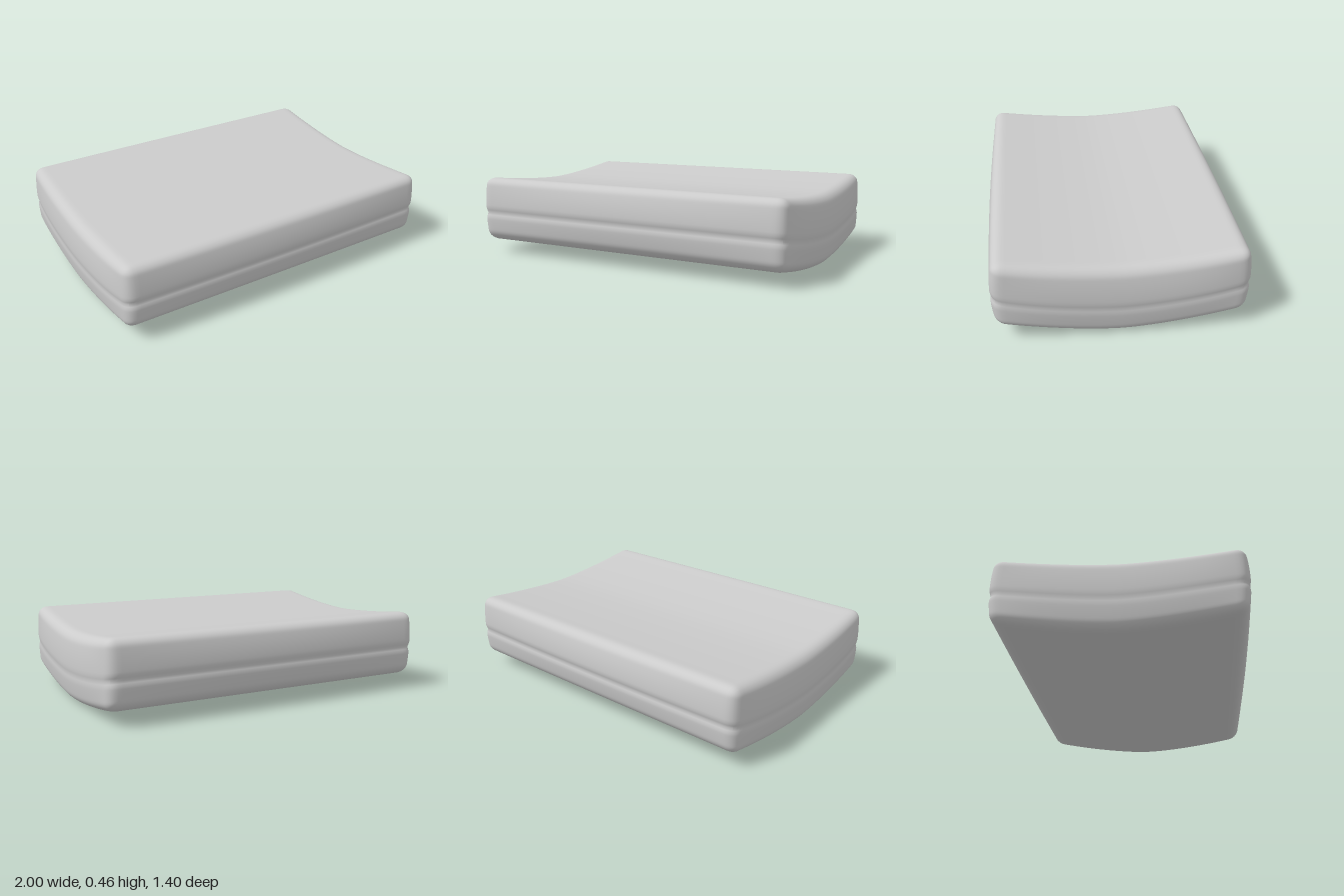
import * as THREE from 'three';
import { mergeVertices } from 'three/addons/utils/BufferGeometryUtils.js';

// half sizes before the walls bulge, and edge radius
const HALF = new THREE.Vector3(0.975, 0.205, 0.665);
const RADIUS = 0.055;

// heights of the sagging underside and top along z
const sag = (z) => Math.pow(Math.abs(z) / 0.65, 1.6);
const bottomY = (z) => 0.087 * sag(z);
const topY = (z) => 0.408 + 0.057 * sag(z);

function cushionGeometry() {
  const box = new THREE.BoxGeometry(2, 2, 2, 48, 40, 40);
  box.deleteAttribute('normal');
  box.deleteAttribute('uv');
  const geometry = mergeVertices(box);
  const pos = geometry.attributes.position;
  const p = new THREE.Vector3();
  const core = new THREE.Vector3();
  const limit = HALF.clone().subScalar(RADIUS);
  const floor = limit.clone().negate();

  for (let i = 0; i < pos.count; i++) {
    // gather the grid lines towards the edges
    p.fromBufferAttribute(pos, i);
    for (const axis of ['x', 'y', 'z']) p[axis] = Math.sin(p[axis] * Math.PI / 2) * HALF[axis];

    // round the edges
    core.copy(p).clamp(floor, limit);
    p.sub(core).setLength(RADIUS).add(core);

    // bulge the walls and press in the seam that runs around them
    const u = p.x / HALF.x, h = p.y / HALF.y, w = p.z / HALF.z;
    const t = (h + 1) / 2;
    const bulge = 1 - h * h;
    const seam = Math.exp(-Math.pow((t - 0.42) / 0.045, 2));
    p.x += u * (0.026 * bulge * (1 - Math.pow(w, 4)) - 0.005 * seam);
    p.z += w * (0.036 * bulge * (1 - 0.5 * u * u) - 0.010 * seam);

    // bend the slab into a shallow trough
    p.y = THREE.MathUtils.lerp(bottomY(p.z), topY(p.z), t);
    pos.setXYZ(i, p.x, p.y, p.z);
  }
  geometry.computeVertexNormals();
  return geometry;
}

export function createModel() {
  const model = new THREE.Group();
  model.name = 'seatCushion';
  const cushion = new THREE.Mesh(
    cushionGeometry(),
    new THREE.MeshStandardMaterial({ color: 0xcccccc })
  );
  cushion.name = 'cushion';
  model.add(cushion);
  return model;
}
